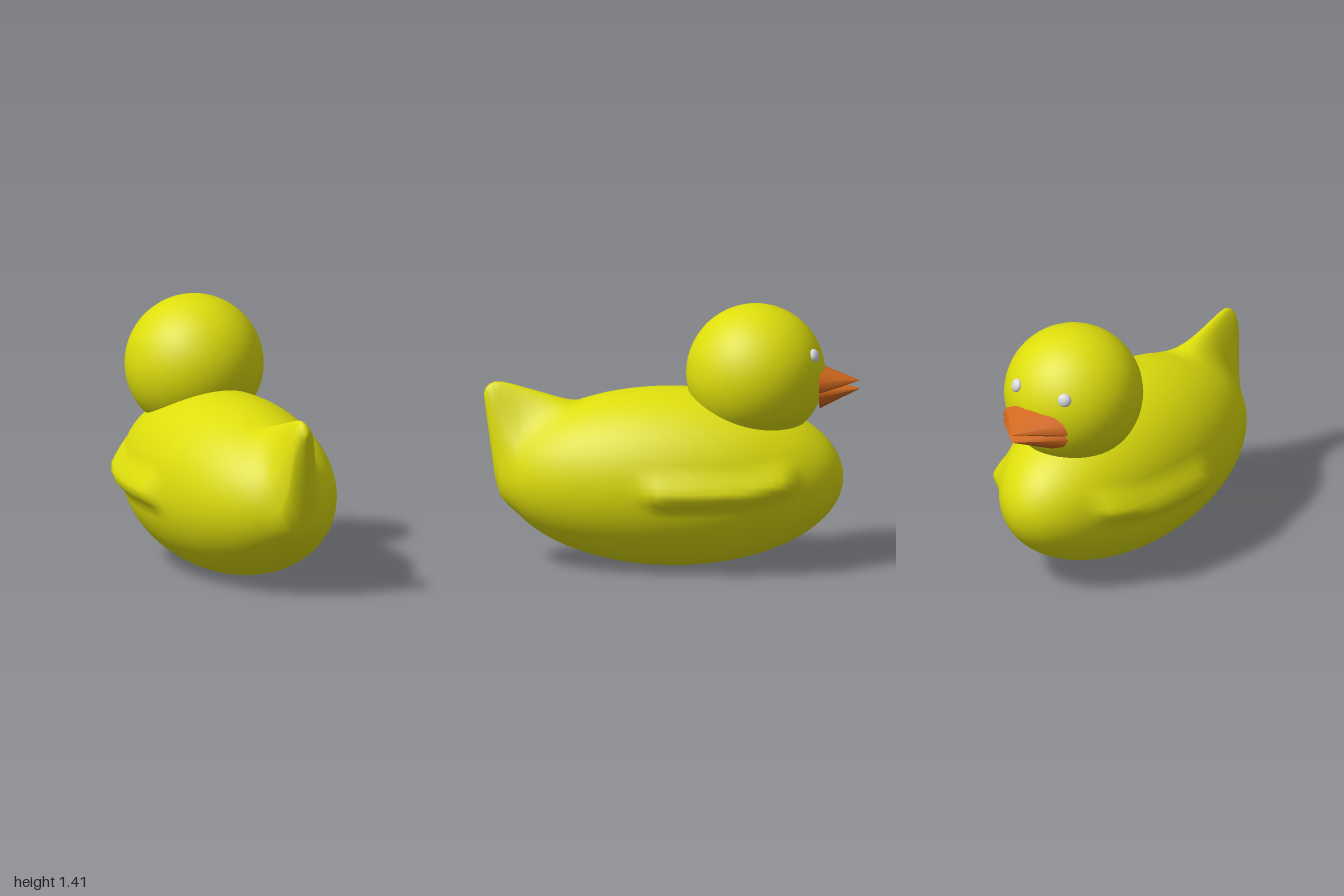
import * as THREE from 'three';

const yellow = new THREE.MeshStandardMaterial({ color: 0xdddd0c });
yellow.name = 'yellow';
const orange = new THREE.MeshStandardMaterial({ color: 0xd2691e });
orange.name = 'orange';
const pale = new THREE.MeshStandardMaterial({ color: 0xd8d8dc });
pale.name = 'paleGrey';

function part(name, geometry, material) {
  const mesh = new THREE.Mesh(geometry, material);
  mesh.name = name;
  return mesh;
}

const step = THREE.MathUtils.smoothstep;

// Egg-shaped body with a lifted tail ridge and shallow wing ledges, lofted along z
function bodyGeometry() {
  const half = 0.91, mid = 0.48, segs = 80;
  const rings = []; // z, half width, bottom, centre, flank top, ridge top
  const count = 48;
  for (let i = 0; i < count; i++) {
    const z = -half * Math.cos((i / count) * Math.PI);
    if (z > 0.82) break;
    const s = Math.max(0.002, Math.sqrt(1 - (z / half) ** 2));
    const top = mid + 0.477 * s;
    const ridge = z > 0.45 ? Math.max(top, 0.885 + (z - 0.55) * 0.28) : top;
    rings.push([z, 0.475 * s, mid - 0.477 * s, mid, top, ridge]);
  }
  // Tail end
  rings.push(
    [0.865, 0.155, 0.31, 0.48, 0.68, 0.972],
    [0.91, 0.11, 0.36, 0.5, 0.75, 0.98],
    [0.94, 0.08, 0.46, 0.62, 0.8, 0.98],
    [0.97, 0.058, 0.68, 0.82, 0.93, 0.967],
    [0.99, 0.032, 0.83, 0.89, 0.94, 0.945],
    [1.0, 0.001, 0.909, 0.91, 0.911, 0.911],
  );

  const pos = [], index = [];
  for (const [z, w, bottom, centre, top, ridge] of rings) {
    const along = step(z, -0.7, -0.62) * (1 - step(z, 0.04, 0.17));
    const ledge = 0.455 + 0.2 * Math.max(0, -z - 0.4);
    for (let j = 0; j < segs; j++) {
      const a = (j / segs) * Math.PI * 2;
      const c = Math.cos(a);
      let x = w * Math.sin(a);
      let y = centre + c * (c > 0 ? top - centre : centre - bottom);
      if (c > 0) y += (ridge - top) * Math.exp(-((x / 0.1) ** 2)) * step(c, 0, 0.7);
      // Wing: soft slope above the ledge, steep below
      const d = y - ledge;
      const bulge = Math.max(0, d > 0 ? 1 - d / 0.13 : 1 + d / 0.08);
      x += Math.sign(x) * 0.062 * along * bulge;
      pos.push(x, y, z);
    }
  }
  for (let i = 0; i < rings.length - 1; i++) {
    for (let j = 0; j < segs; j++) {
      const k = (j + 1) % segs;
      const a = i * segs + j, b = i * segs + k, c = a + segs, d = b + segs;
      index.push(a, c, b, b, c, d);
    }
  }
  const g = new THREE.BufferGeometry();
  g.setAttribute('position', new THREE.Float32BufferAttribute(pos, 3));
  g.setIndex(index);
  g.computeVertexNormals();
  return g;
}

// Flattened cone pointing to -z, with its own rise, drop and tip height
function billGeometry(baseY, up, down, tipY) {
  const g = new THREE.ConeGeometry(1, 1, 12).rotateX(-Math.PI / 2);
  const p = g.attributes.position;
  for (let i = 0; i < p.count; i++) {
    const t = 0.5 - p.getZ(i);
    const y = p.getY(i);
    const h = y * (y > 0 ? up : down);
    p.setXYZ(i, p.getX(i) * 0.215, THREE.MathUtils.lerp(baseY, tipY, t) + h, -0.79 - 0.21 * t);
  }
  g.computeVertexNormals();
  return g;
}

export function createModel() {
  const model = new THREE.Group();
  model.name = 'bathDuck';

  model.add(part('body', bodyGeometry(), yellow));

  const head = part('head', new THREE.SphereGeometry(0.37, 40, 28), yellow);
  head.position.set(0, 1.04, -0.445);
  model.add(head);

  model.add(part('upperBill', billGeometry(0.985, 0.095, 0.04, 1.005), orange));
  model.add(part('lowerBill', billGeometry(0.95, 0.055, 0.09, 0.96), orange));

  // Eyes lie flattened against the head
  for (const [name, x] of [['leftEye', 0.143], ['rightEye', -0.17]]) {
    const eye = part(name, new THREE.SphereGeometry(1, 16, 12), pale);
    const dir = new THREE.Vector3(x, 0.125, -0.32).normalize();
    eye.scale.set(0.037, 0.037, 0.023);
    eye.position.copy(head.position).addScaledVector(dir, 0.37);
    eye.quaternion.setFromUnitVectors(new THREE.Vector3(0, 0, -1), dir);
    model.add(eye);
  }
  return model;
}
